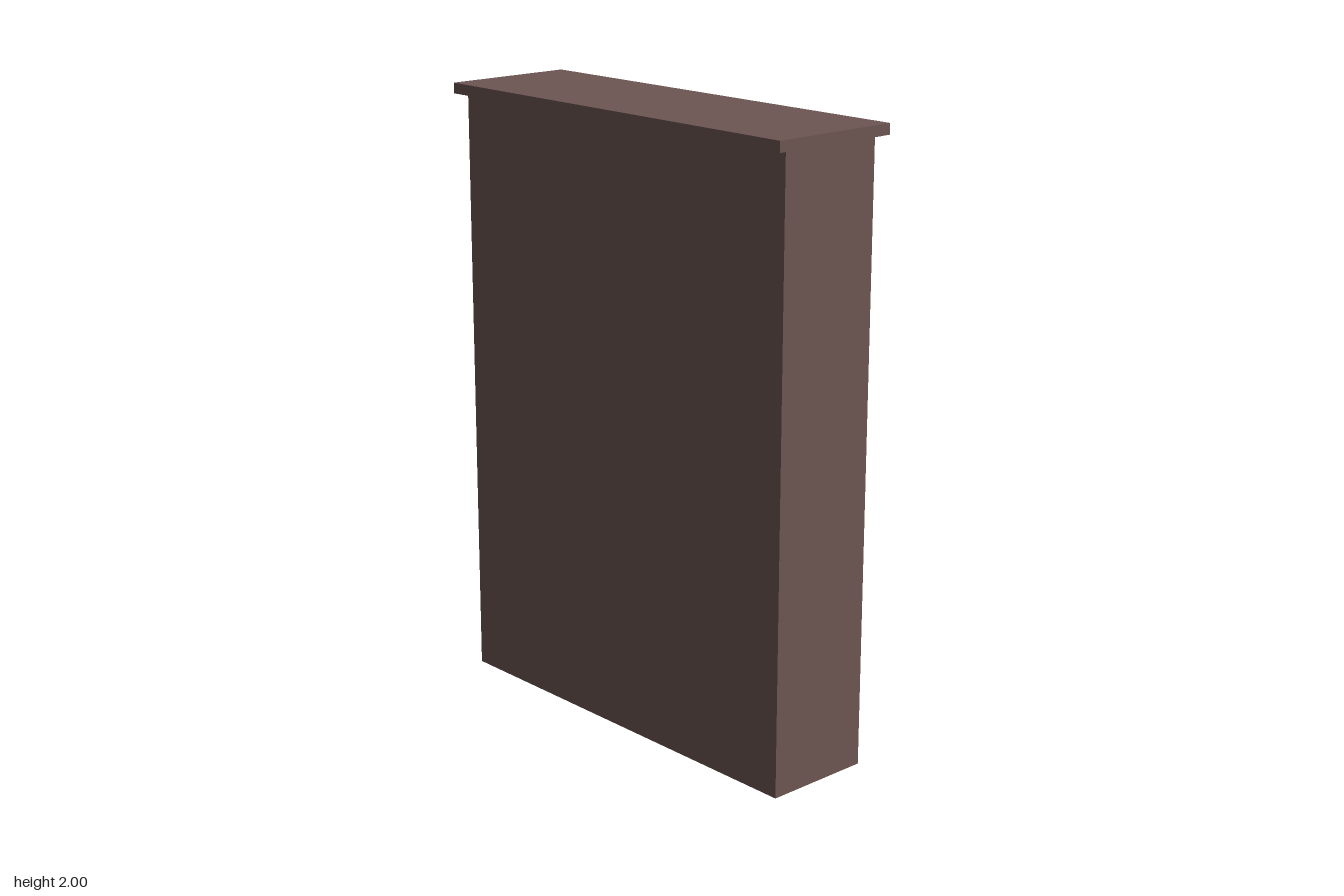
import * as THREE from 'three';

export function createModel() {
  const group = new THREE.Group();
  group.name = 'bookcase';
  const wood = new THREE.MeshStandardMaterial({ color: 0x6d5652 });

  const add = (name, geometry, x, y, z) => {
    const mesh = new THREE.Mesh(geometry, wood);
    mesh.name = name;
    mesh.position.set(x, y, z);
    group.add(mesh);
    return mesh;
  };

  // Main dimensions; the shelves open towards +x
  const bodyX = 0.181, bodyZ = 0.716, bodyTop = 1.966;
  const shelfBack = -0.04, openZ = 0.607;

  // Frame with four shelf openings cut through it
  const frame = new THREE.Shape();
  frame.moveTo(-bodyZ, 0);
  frame.lineTo(bodyZ, 0);
  frame.lineTo(bodyZ, bodyTop);
  frame.lineTo(-bodyZ, bodyTop);
  frame.closePath();
  for (let i = 0; i < 4; i++) {
    const y0 = 0.403 + i * 0.366, y1 = y0 + 0.313;
    const hole = new THREE.Path();
    hole.moveTo(-openZ, y0);
    hole.lineTo(-openZ, y1);
    hole.lineTo(openZ, y1);
    hole.lineTo(openZ, y0);
    hole.closePath();
    frame.holes.push(hole);
  }
  const frameGeometry = new THREE.ExtrudeGeometry(frame, { depth: bodyX - shelfBack, bevelEnabled: false });
  frameGeometry.rotateY(Math.PI / 2);
  add('shelfFrame', frameGeometry, shelfBack, 0, 0);

  // Solid back behind the openings
  const backDepth = shelfBack + bodyX;
  add('backPanel', new THREE.BoxGeometry(backDepth, bodyTop, 2 * bodyZ), -bodyX + backDepth / 2, bodyTop / 2, 0);

  // Overhanging top board
  add('topBoard', new THREE.BoxGeometry(0.446, 2 - bodyTop, 1.47), 0, (2 + bodyTop) / 2, 0);

  // Raised panel: a box whose +x face is inset to form sloping edges
  const raisedPanel = (depth, height, width, insetY, insetZ) => {
    const geometry = new THREE.BoxGeometry(depth, height, width);
    const p = geometry.attributes.position;
    for (let i = 0; i < p.count; i++) {
      if (p.getX(i) < 0) continue;
      p.setY(i, p.getY(i) - Math.sign(p.getY(i)) * insetY);
      p.setZ(i, p.getZ(i) - Math.sign(p.getZ(i)) * insetZ);
    }
    geometry.computeVertexNormals();
    return geometry;
  };

  // Pair of drawer fronts
  for (const side of [1, -1]) {
    add(side > 0 ? 'leftDrawer' : 'rightDrawer',
      raisedPanel(0.032, 0.276, openZ, 0.026, 0.058), bodyX + 0.016, 0.207, side * openZ / 2);
  }

  // Shallow panel under the top board
  add('crownPanel', raisedPanel(0.005, 0.152, 2 * openZ, 0.02, 0.045), bodyX + 0.0025, 1.89, 0);

  return group;
}
